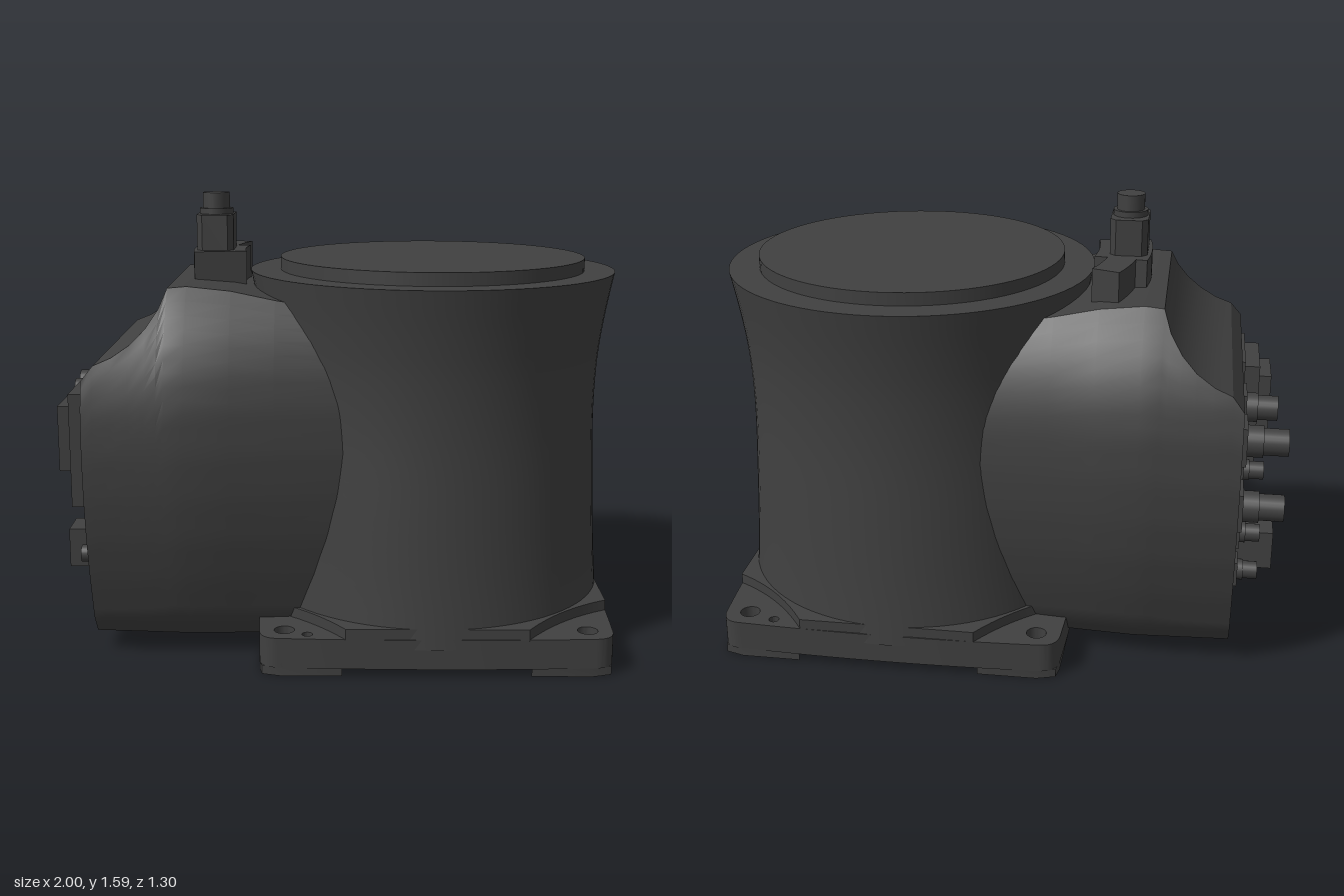
import * as THREE from 'three';
import { toCreasedNormals } from 'three/addons/utils/BufferGeometryUtils.js';

const CX = 0.35; // column axis
const material = new THREE.MeshStandardMaterial({ color: 0x404040 });

// Linear lookup in a list of [key, value] pairs
function lookup(table, k) {
  if (k <= table[0][0]) return table[0][1];
  for (let i = 1; i < table.length; i++) {
    const [k0, v0] = table[i - 1], [k1, v1] = table[i];
    if (k <= k1) return v0 + (v1 - v0) * (k - k0) / (k1 - k0);
  }
  return table[table.length - 1][1];
}

export function createModel() {
  const model = new THREE.Group();
  const add = (name, geometry, x = 0, y = 0, z = 0, parent = model) => {
    const mesh = new THREE.Mesh(geometry, material);
    mesh.name = name;
    mesh.position.set(x, y, z);
    parent.add(mesh);
    return mesh;
  };
  const box = (name, x0, x1, y0, y1, z0, z1) =>
    add(name, new THREE.BoxGeometry(x1 - x0, y1 - y0, z1 - z0), (x0 + x1) / 2, (y0 + y1) / 2, (z0 + z1) / 2);
  // Extrudes a plan shape (x, z) between two heights
  const slab = (name, shape, y0, y1, x = CX) => {
    const g = new THREE.ExtrudeGeometry(shape, { depth: y1 - y0, bevelEnabled: false, curveSegments: 16 });
    g.rotateX(Math.PI / 2);
    return add(name, toCreasedNormals(g, 0.5), x, y1, 0);
  };
  const hole = (x, z, r) => new THREE.Path().absarc(x, z, r, 0, Math.PI * 2, true);

  // Column: flared lathe with a raised round cap
  const flare = new THREE.SplineCurve([[0.63, 0.1], [0.615, 0.3], [0.603, 0.55], [0.595, 0.8],
    [0.602, 1.0], [0.622, 1.16], [0.652, 1.32]].map(p => new THREE.Vector2(...p))).getPoints(30);
  const profile = [new THREE.Vector2(0, 0.1), ...flare, new THREE.Vector2(0, 1.32)];
  add('column', toCreasedNormals(new THREE.LatheGeometry(profile, 80), 0.5), CX);
  add('topCap', new THREE.CylinderGeometry(0.545, 0.545, 0.05, 80), CX, 1.34);

  // Base plate: bowed square with rounded corners, holed at the corners
  const corners = [[1, 1], [-1, 1], [-1, -1], [1, -1]];
  const plate = new THREE.Shape();
  const raised = new THREE.Shape();
  corners.forEach(([sx, sz], i) => {
    // Each corner is entered from one side and left along the next
    const flip = i % 2 === 1;
    const order = pts => (flip ? pts.slice().reverse() : pts).map(([x, z]) => [x * sx, z * sz]);
    const [a, c, b] = order([[0.605, 0.54], [0.6, 0.61], [0.53, 0.61]]);
    const [p, q, r] = order([[0.615, 0.33], [0.44, 0.42], [0.31, 0.62]]);
    const bow = flip ? [-0.64, 0] : [0.64, 0];
    const side = flip ? [0, sz * 0.64] : [sx * 0.64, 0];
    if (i === 0) {
      plate.moveTo(...a);
      raised.moveTo(...p);
    } else {
      plate.quadraticCurveTo(...side, ...a);
      raised.lineTo(...p);
    }
    plate.quadraticCurveTo(...c, ...b);
    raised.quadraticCurveTo(...q, ...r);
    if (i === 3) plate.quadraticCurveTo(bow[0] > 0 ? bow[0] : 0.64, 0, 0.605, 0.54);
    plate.holes.push(hole(sx * 0.52, sz * 0.53, 0.035));
  });
  plate.holes.push(hole(0.42, -0.57, 0.018), hole(-0.44, 0.57, 0.018));
  slab('basePlate', plate, 0.03, 0.135);
  slab('basePlateRaised', raised, 0.13, 0.172);

  // Corner feet, cut on the inside by a circle
  for (const [sx, sz] of corners) {
    const pts = [[0.605, 0.54], [0.595, 0.59], [0.53, 0.61]];
    for (let i = 0; i <= 12; i++) {
      const a = THREE.MathUtils.lerp(1.086, 0.485, i / 12);
      pts.push([0.69 * Math.cos(a), 0.69 * Math.sin(a)]);
    }
    const foot = new THREE.Shape(pts.map(([x, z]) => new THREE.Vector2(x * sx, z * sz)));
    foot.holes.push(hole(sx * 0.52, sz * 0.53, 0.034));
    slab('foot', foot, 0, 0.03);
  }

  // Rear housing: bulging cross-sections lofted along x, scooped at the top end
  const halfWidth = [[0.055, 0.36], [0.14, 0.43], [0.3, 0.485], [0.45, 0.525], [0.6, 0.55], [0.75, 0.56],
    [0.9, 0.55], [1.02, 0.522], [1.12, 0.48], [1.2, 0.43], [1.28, 0.365], [1.31, 0.33]];
  const topLine = [[-0.84, 1.0], [-0.8, 1.05], [-0.74, 1.075], [-0.68, 1.115], [-0.63, 1.165],
    [-0.59, 1.225], [-0.565, 1.29], [-0.5, 1.295], [-0.35, 1.28], [-0.2, 1.25], [0.1, 1.2]];
  const widthScale = [[-0.84, 0.99], [-0.5, 1.02], [-0.05, 0.92], [0.1, 0.88]];
  const levels = 28, ring = 2 * (levels + 1);
  const pos = [], idx = [];
  topLine.forEach(([x, top]) => {
    const bottom = lookup([[-0.84, 0.07], [-0.27, 0.055]], x);
    for (let j = 0; j < ring; j++) {
      const up = j <= levels;
      const y = bottom + (top - bottom) * (up ? j : ring - 1 - j) / levels;
      pos.push(x, y, (up ? 1 : -1) * lookup(halfWidth, y) * lookup(widthScale, x));
    }
  });
  for (let i = 0; i < topLine.length - 1; i++) {
    for (let j = 0; j < ring; j++) {
      const k = (j + 1) % ring, a = i * ring + j, c = i * ring + k;
      idx.push(a, a + ring, c + ring, a, c + ring, c);
    }
  }
  for (let j = 1; j < ring - 1; j++) idx.push(0, j, j + 1);
  const housing = new THREE.BufferGeometry();
  housing.setAttribute('position', new THREE.Float32BufferAttribute(pos, 3));
  housing.setIndex(idx);
  add('housing', toCreasedNormals(housing, 0.45));

  // Connector panel on the -x face
  const back = -0.83;
  const connector = (name, y, z, r, tip) => {
    const g = new THREE.Group();
    g.name = name;
    const stage = (part, radius, x0, x1) => {
      const c = new THREE.CylinderGeometry(radius, radius, x1 - x0, 24).rotateZ(Math.PI / 2);
      add(part, c, (x0 + x1) / 2, y, z, g);
    };
    add('flange', new THREE.BoxGeometry(0.04, r * 2.5, r * 2.5), back - 0.01, y, z, g);
    stage('collar', r, (back + tip) / 2, back);
    stage('barrel', r * 0.85, tip, back);
    model.add(g);
  };
  connector('roundConnector', 0.83, -0.34, 0.055, -1.0);
  connector('roundConnector', 0.585, -0.34, 0.055, -1.0);
  connector('roundConnector', 0.85, -0.08, 0.052, -0.97);
  for (const [y, z] of [[0.66, -0.2], [0.43, -0.23], [0.28, -0.23], [0.28, 0.14]]) {
    connector('smallConnector', y, z, 0.037, -0.93);
  }
  box('squareSocket', -0.99, back, 0.205, 0.35, -0.07, 0.07);
  box('inletFrame', -0.855, back, 0.5, 0.96, 0.08, 0.41);
  box('inletHousing', -0.91, back, 0.53, 0.93, 0.12, 0.39);
  box('inletPlug', -0.955, back, 0.65, 0.88, 0.16, 0.355);

  // Curved bracket on the housing top, following the column
  const sector = (name, r0, r1, a0, a1, y0, y1) => {
    const s = new THREE.Shape();
    s.absarc(0, 0, r1, Math.PI + a0, Math.PI + a1, false);
    s.absarc(0, 0, r0, Math.PI + a1, Math.PI + a0, true);
    slab(name, s, y0, y1);
  };
  sector('bracketBlock', 0.67, 0.855, -0.165, 0.165, 1.22, 1.39);
  sector('bracketArm', 0.715, 0.815, 0.16, 0.375, 1.2, 1.39);

  // Upright plug on the bracket
  const s = new THREE.Shape();
  [[0.065, 0.07], [0.045, 0.092], [-0.045, 0.092], [-0.065, 0.07], [-0.065, -0.07],
    [-0.045, -0.092], [0.045, -0.092], [0.065, -0.07]].forEach(([x, z], i) => i ? s.lineTo(x, z) : s.moveTo(x, z));
  slab('plugBody', s, 1.37, 1.515, -0.425);
  add('plugCollar', new THREE.CylinderGeometry(0.06, 0.06, 0.04, 28), -0.425, 1.515);
  add('plugTip', new THREE.CylinderGeometry(0.048, 0.048, 0.1, 28), -0.425, 1.54);

  return model;
}
